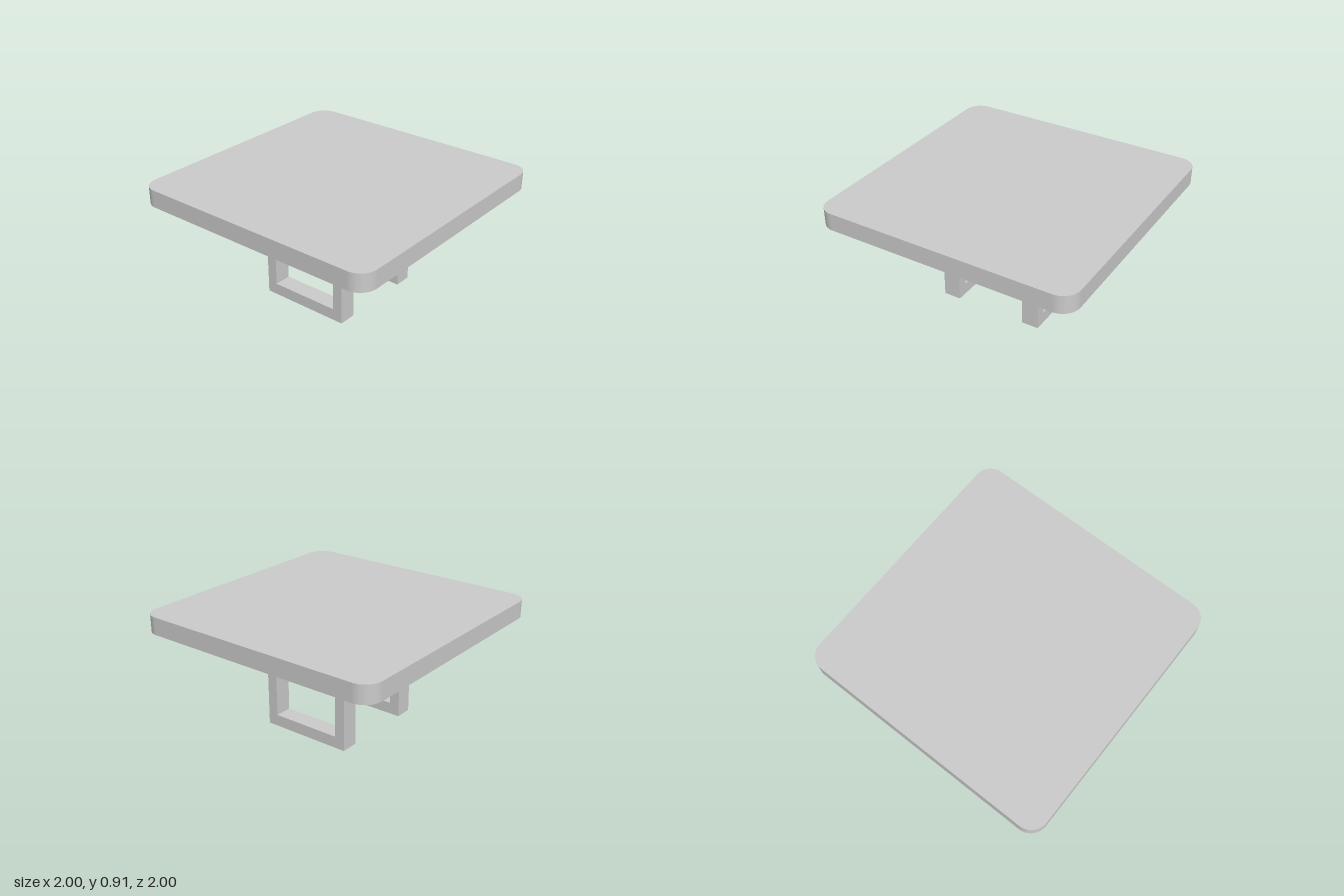
import * as THREE from 'three';

const material = new THREE.MeshStandardMaterial({ color: 0xcccccc });

const TOP_Y = 0.775, TOP_THICK = 0.135;      // table top
const FRAME_X = 0.355, FRAME_THICK = 0.135;  // leg frames
const HOLE_X = 0.275, HOLE_LOW = 0.09, HOLE_HIGH = 0.635;
const INNER_Z = 0.275;

function addMesh(parent, name, geometry) {
  const mesh = new THREE.Mesh(geometry, material);
  mesh.name = name;
  parent.add(mesh);
  return mesh;
}

function rectangle(Type, x, y0, y1) {
  const path = new Type();
  path.moveTo(-x, y0).lineTo(x, y0).lineTo(x, y1).lineTo(-x, y1).closePath();
  return path;
}

// Square with quarter-circle corners
function roundedSquare(h, r) {
  const s = new THREE.Shape(), c = h - r;
  s.absarc(c, c, r, 0, Math.PI / 2);
  s.absarc(-c, c, r, Math.PI / 2, Math.PI);
  s.absarc(-c, -c, r, Math.PI, Math.PI * 1.5);
  s.absarc(c, -c, r, Math.PI * 1.5, Math.PI * 2);
  s.closePath();
  return s;
}

export function createModel() {
  const table = new THREE.Group();
  table.name = 'table';

  // Rounded slab top
  const topGeometry = new THREE.ExtrudeGeometry(roundedSquare(1, 0.13), {
    depth: TOP_THICK, bevelEnabled: false, curveSegments: 12,
  });
  topGeometry.rotateX(-Math.PI / 2);
  addMesh(table, 'tableTop', topGeometry).position.y = TOP_Y;

  // Open rectangular leg frames, front and back
  const frameShape = rectangle(THREE.Shape, FRAME_X, 0, TOP_Y);
  frameShape.holes.push(rectangle(THREE.Path, HOLE_X, HOLE_LOW, HOLE_HIGH));
  const frameGeometry = new THREE.ExtrudeGeometry(frameShape, {
    depth: FRAME_THICK, bevelEnabled: false,
  });
  addMesh(table, 'frontLegFrame', frameGeometry).position.z = INNER_Z;
  addMesh(table, 'backLegFrame', frameGeometry).position.z = -INNER_Z - FRAME_THICK;

  // Block under the top joining the two frames
  const blockHeight = TOP_Y - HOLE_HIGH;
  addMesh(table, 'connectingBlock', new THREE.BoxGeometry(HOLE_X * 2, blockHeight, INNER_Z * 2))
    .position.y = HOLE_HIGH + blockHeight / 2;

  return table;
}
